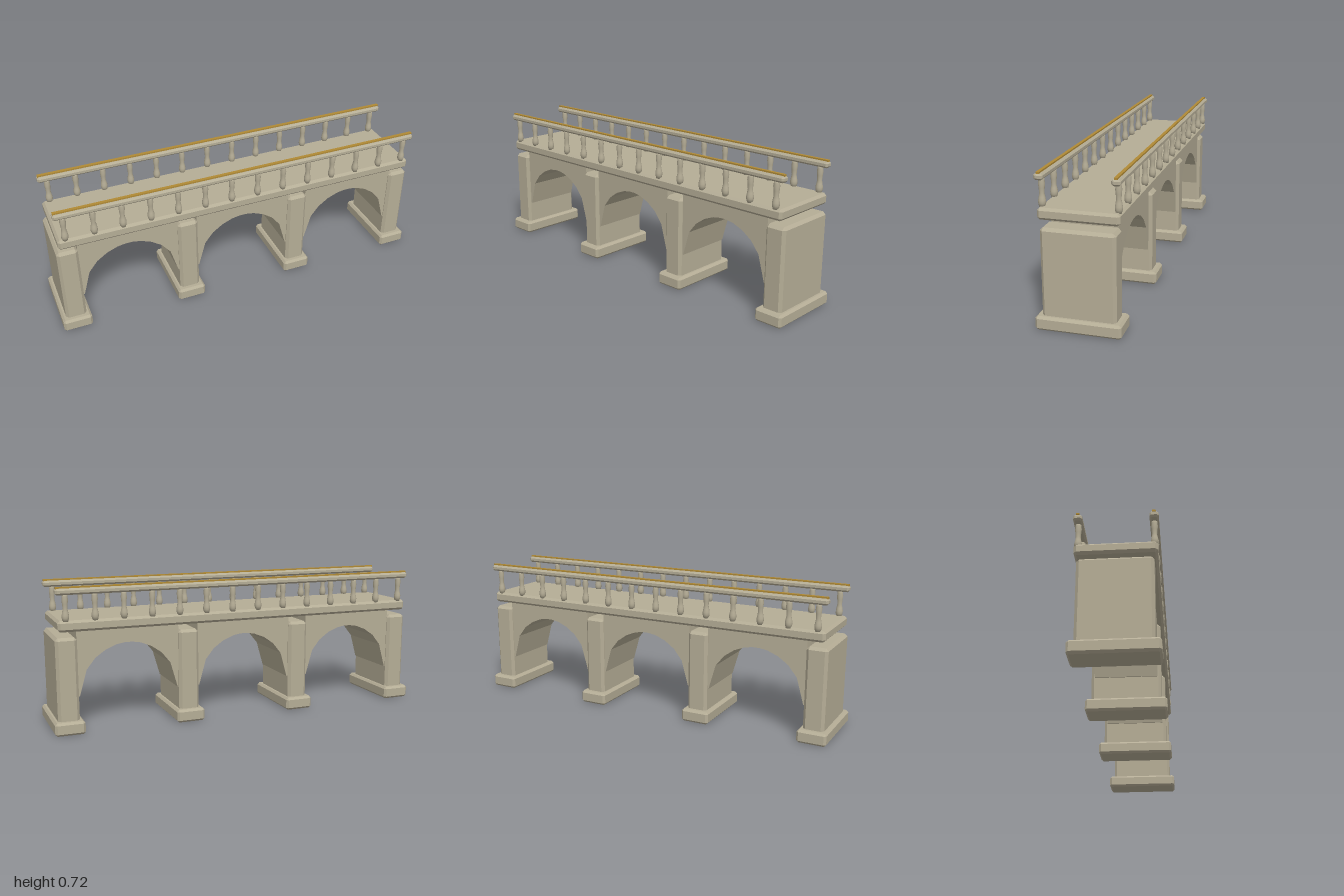
import * as THREE from 'three';
import { ConvexGeometry } from 'three/addons/geometries/ConvexGeometry.js';

const stone = new THREE.MeshStandardMaterial({ color: 0xb5ad96 });
stone.name = 'stone';
const gold = new THREE.MeshStandardMaterial({ color: 0xb08a35 });
gold.name = 'gold';

// Box with all edges chamfered by c, spanning y0 to y1
function chamferBox(w, y0, y1, d, c) {
  const X = w / 2, Y = (y1 - y0) / 2, Z = d / 2, points = [];
  for (const sx of [-1, 1]) for (const sy of [-1, 1]) for (const sz of [-1, 1]) {
    points.push(
      new THREE.Vector3(sx * X, sy * (Y - c), sz * (Z - c)),
      new THREE.Vector3(sx * (X - c), sy * Y, sz * (Z - c)),
      new THREE.Vector3(sx * (X - c), sy * (Y - c), sz * Z));
  }
  return new ConvexGeometry(points).translate(0, (y0 + y1) / 2, 0);
}

// Wall panel between two piers, with the arch cut out of its underside
function archPanel() {
  const half = 0.257, depth = 0.308;
  const arch = [[0.25, 0.18], [0.213, 0.31], [0.168, 0.366], [0.115, 0.403], [0.06, 0.425], [0.018, 0.432]];
  const shape = new THREE.Shape();
  shape.moveTo(-half, 0.508);
  shape.lineTo(-half, 0.18);
  for (const [x, y] of arch) shape.lineTo(-x, y);
  for (const [x, y] of [...arch].reverse()) shape.lineTo(x, y);
  shape.lineTo(half, 0.18);
  shape.lineTo(half, 0.508);
  shape.closePath();
  return new THREE.ExtrudeGeometry(shape, { depth, bevelEnabled: false }).translate(0, 0, -depth / 2);
}

// Turned baluster profile
function balusterGeometry() {
  const profile = [
    [0, 0.555], [0.013, 0.555], [0.0175, 0.572], [0.0175, 0.585], [0.0145, 0.6], [0.0115, 0.617],
    [0.0135, 0.64], [0.0155, 0.66], [0.0135, 0.675], [0.0135, 0.688], [0, 0.688],
  ].map(([r, y]) => new THREE.Vector2(r, y));
  return new THREE.LatheGeometry(profile, 12);
}

export function createModel() {
  const model = new THREE.Group();
  model.name = 'archedBridge';
  const add = (name, geometry, material, x = 0, z = 0) => {
    const mesh = new THREE.Mesh(geometry, material);
    mesh.name = name;
    mesh.position.set(x, 0, z);
    model.add(mesh);
  };

  // Piers on footings
  const spacing = 0.6167;
  const footing = chamferBox(0.148, 0, 0.066, 0.398, 0.011);
  const pier = chamferBox(0.106, 0.05, 0.475, 0.343, 0.014);
  for (let i = 0; i < 4; i++) {
    const x = (i - 1.5) * spacing;
    add('footing', footing, stone, x);
    add('pier', pier, stone, x);
  }

  // Three arches
  const panel = archPanel();
  for (let i = -1; i <= 1; i++) add('archPanel', panel, stone, i * spacing);

  // Road deck
  add('deck', chamferBox(1.93, 0.505, 0.56, 0.373, 0.012), stone);

  // Balustrades on both sides
  const baluster = balusterGeometry();
  const rail = chamferBox(1.944, 0.683, 0.714, 0.042, 0.009);
  const strip = new THREE.BoxGeometry(1.936, 0.009, 0.016).translate(0, 0.7165, 0);
  for (const z of [-0.172, 0.172]) {
    for (let i = 0; i < 14; i++) add('baluster', baluster, stone, -0.925 + i * (1.85 / 13), z);
    add('handrail', rail, stone, 0, z);
    add('railStrip', strip, gold, 0, z);
  }
  return model;
}
